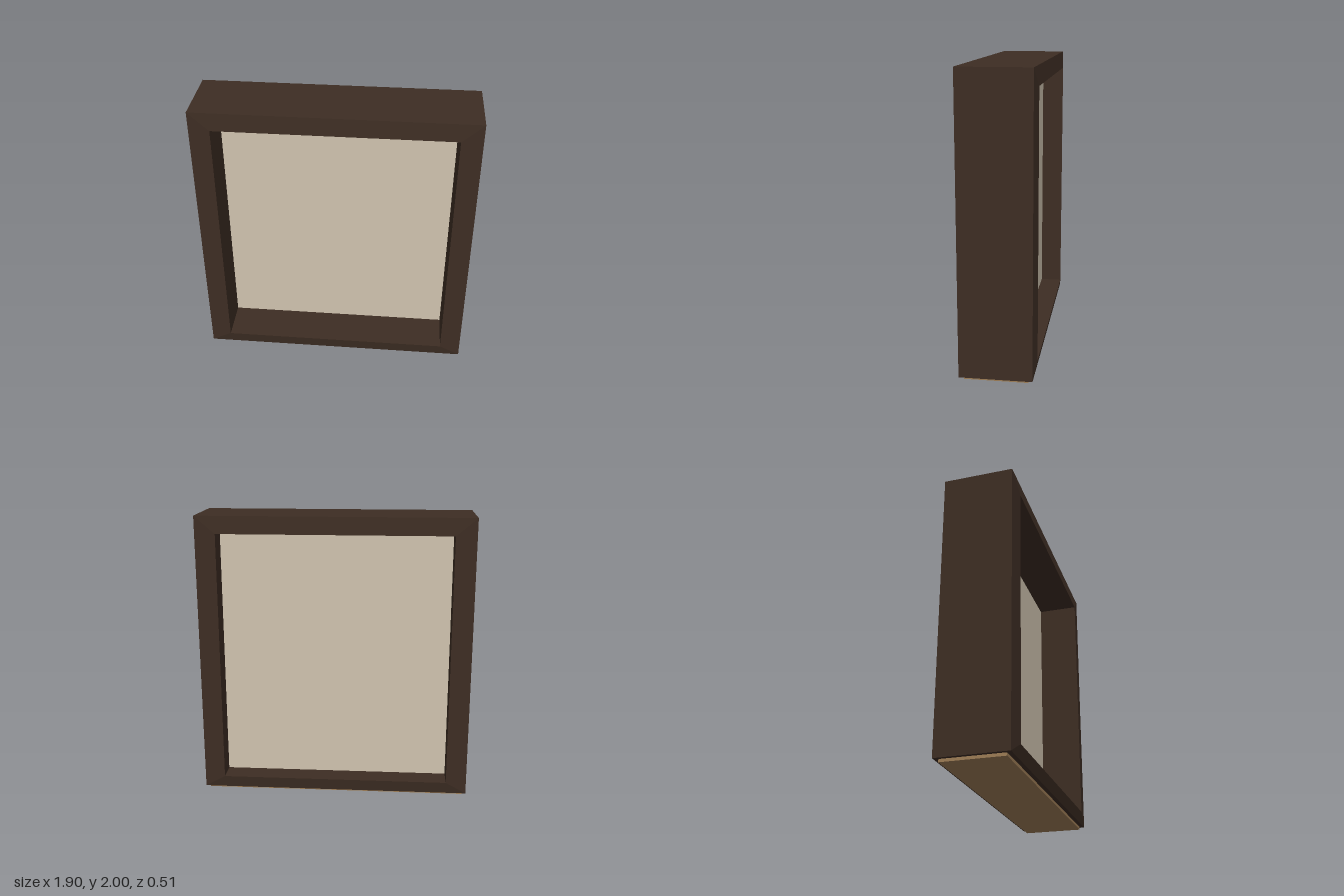
import * as THREE from 'three';

// Rectangular rings joined in a closed loop: outer back, outer front, inner front, inner back
function frameGeometry() {
  const outer = { x: 0.95, y0: 0.02, y1: 2 };
  const inner = { x: 0.805, y0: 0.105, y1: 1.88 };
  const rings = [[outer, -0.24], [outer, 0.24], [inner, 0.255], [inner, -0.255]];
  const corner = ([r, z], i) => [
    [-r.x, r.y0, z], [r.x, r.y0, z], [r.x, r.y1, z], [-r.x, r.y1, z],
  ][i % 4];
  const positions = [];
  rings.forEach((ring, k) => {
    const next = rings[(k + 1) % rings.length];
    for (let i = 0; i < 4; i++) {
      const a = corner(ring, i), b = corner(ring, i + 1);
      const c = corner(next, i + 1), d = corner(next, i);
      positions.push(...a, ...b, ...c, ...a, ...c, ...d);
    }
  });
  const geometry = new THREE.BufferGeometry();
  geometry.setAttribute('position', new THREE.Float32BufferAttribute(positions, 3));
  geometry.computeVertexNormals();
  return geometry;
}

export function createModel() {
  const model = new THREE.Group();
  model.name = 'framedPanel';

  const material = (name, color) => {
    const m = new THREE.MeshStandardMaterial({ color });
    m.name = name;
    return m;
  };
  const darkWood = material('darkWood', 0x3d2d23);
  const cream = material('cream', 0xcfc3af);
  const tan = material('tan', 0x9c7c55);

  const add = (name, geometry, mat, y = 0, z = 0) => {
    const mesh = new THREE.Mesh(geometry, mat);
    mesh.name = name;
    mesh.position.set(0, y, z);
    model.add(mesh);
  };

  // Deep box frame with faces sloping out to the opening
  add('frame', frameGeometry(), darkWood);

  // Recessed panel, set slightly toward the back
  add('panel', new THREE.BoxGeometry(1.61, 1.775, 0.055), cream, 0.9925, -0.07);

  // Thin pad under the frame
  add('basePad', new THREE.BoxGeometry(1.85, 0.02, 0.42), tan, 0.01);

  return model;
}
